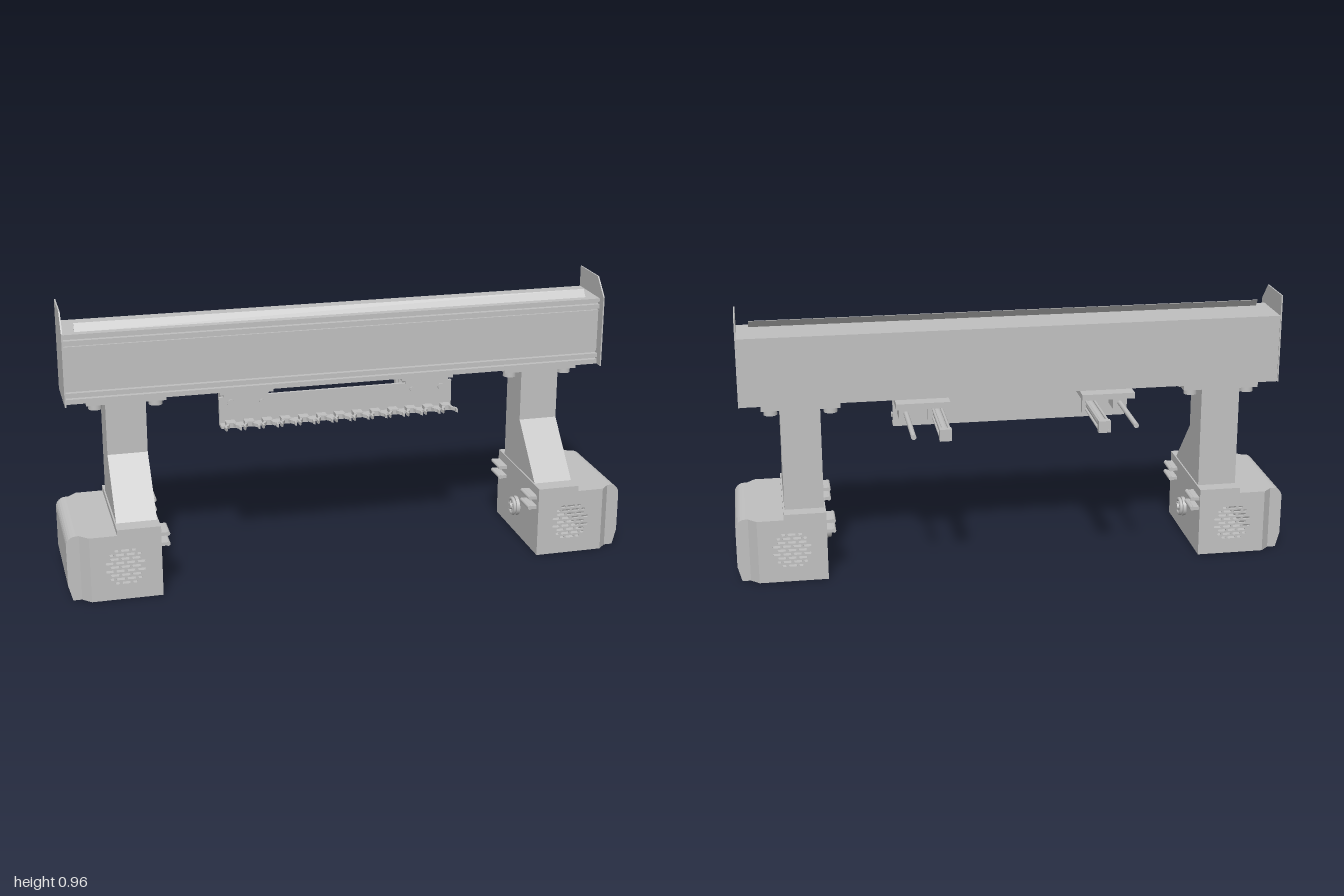
import * as THREE from 'three';

const metal = new THREE.MeshStandardMaterial({ color: 0xc0c0c0 });
metal.name = 'light grey metal';

function add(parent, name, geometry) {
  const mesh = new THREE.Mesh(geometry, metal);
  mesh.name = name;
  parent.add(mesh);
  return mesh;
}

// Box from its min and max along each axis (x may be given in either order)
function box(parent, name, x0, x1, y0, y1, z0, z1) {
  const g = new THREE.BoxGeometry(Math.abs(x1 - x0), y1 - y0, z1 - z0);
  g.translate((x0 + x1) / 2, (y0 + y1) / 2, (z0 + z1) / 2);
  return add(parent, name, g);
}

// Cylinder along an axis, centred on a point
function rod(parent, name, axis, r, length, x, y, z, sides = 20) {
  const g = new THREE.CylinderGeometry(r, r, length, sides);
  if (axis === 'x') g.rotateZ(Math.PI / 2);
  if (axis === 'z') g.rotateX(Math.PI / 2);
  g.translate(x, y, z);
  return add(parent, name, g);
}

// Prism from an outline: 'x' takes [z, y], 'y' takes [x, z], 'z' takes [x, y]
function prism(parent, name, axis, points, from, to, holes = []) {
  const flip = { x: ([z, y]) => [-z, y], y: ([x, z]) => [x, -z], z: (p) => p }[axis];
  const shape = new THREE.Shape(points.map((p) => new THREE.Vector2(...flip(p))));
  shape.holes = holes;
  const g = new THREE.ExtrudeGeometry(shape, { depth: to - from, bevelEnabled: false, curveSegments: 5 });
  if (axis === 'x') g.rotateY(Math.PI / 2).translate(from, 0, 0);
  if (axis === 'y') g.rotateX(-Math.PI / 2).translate(0, from, 0);
  if (axis === 'z') g.translate(0, 0, from);
  return add(parent, name, g);
}

// Staggered rounded slots filling a circle
function grilleSlots(cx, cy, radius) {
  const slots = [], r = 0.0042, pitch = 0.037;
  for (let row = -4; row <= 4; row++) {
    const y = row * 0.0148;
    const half = Math.sqrt(radius * radius - y * y);
    for (let k = -3; k <= 3; k++) {
      const mid = (k + (row % 2 ? 0.5 : 0)) * pitch;
      const a = Math.max(mid - 0.015, -half), b = Math.min(mid + 0.015, half);
      if (b - a < 0.012) continue;
      const p = new THREE.Path();
      p.moveTo(cx + a + r, cy + y - r);
      p.lineTo(cx + b - r, cy + y - r);
      p.absarc(cx + b - r, cy + y, r, -Math.PI / 2, Math.PI / 2, false);
      p.lineTo(cx + a + r, cy + y + r);
      p.absarc(cx + a + r, cy + y, r, Math.PI / 2, Math.PI * 1.5, false);
      slots.push(p);
    }
  }
  return slots;
}

function buildFoot(s) {
  const foot = new THREE.Group();
  foot.name = s > 0 ? 'leftFoot' : 'rightFoot';
  const mirror = (pts) => pts.map(([x, v]) => [s * x, v]);

  // Hollow housing with a slotted wall at each end
  box(foot, 'innerWall', s * 0.68, s * 0.69, 0, 0.235, -0.112, 0.315);
  box(foot, 'floor', s * 0.69, s * 0.915, 0, 0.01, -0.112, 0.315);
  box(foot, 'roof', s * 0.69, s * 0.915, 0.225, 0.235, -0.112, 0.315);
  const wall = mirror([[0.69, 0.01], [0.915, 0.01], [0.915, 0.225], [0.69, 0.225]]);
  for (const [name, z] of [['frontGrille', 0.307], ['backGrille', -0.112]])
    prism(foot, name, 'z', wall, z, z + 0.008, grilleSlots(s * 0.805, 0.12, 0.07));
  prism(foot, 'chamferedSide', 'y', mirror([[0.915, 0.315], [0.925, 0.315], [0.955, 0.285],
    [0.955, -0.083], [0.925, -0.112], [0.915, -0.112]]), 0, 0.235);

  // Outer cover with a rounded top and tapered bottom
  const cap = [[0.955, 0], [0.985, 0], [1, 0.055], [1, 0.2]];
  for (let i = 1; i <= 6; i++) {
    const a = (i / 6) * Math.PI / 2;
    cap.push([0.965 + 0.035 * Math.cos(a), 0.2 + 0.035 * Math.sin(a)]);
  }
  cap.push([0.955, 0.235]);
  prism(foot, 'outerCover', 'z', mirror(cap), -0.083, 0.285);
  box(foot, 'footPlate', s * 0.68, s * 0.83, 0.235, 0.255, -0.112, 0.315);

  // Grips and knob on the inner face
  for (const z of [0.255, -0.06])
    for (const y of [0.18, 0.217]) {
      box(foot, 'grip', s * 0.655, s * 0.68, y - 0.006, y + 0.006, z - 0.042, z + 0.042);
      rod(foot, 'gripEdge', 'z', 0.008, 0.084, s * 0.655, y, z, 12);
    }
  rod(foot, 'knobBase', 'x', 0.036, 0.012, s * 0.674, 0.11, 0.1, 24);
  const ring = new THREE.TorusGeometry(0.028, 0.007, 8, 24).rotateY(Math.PI / 2);
  add(foot, 'knobRing', ring.translate(s * 0.662, 0.11, 0.1));
  rod(foot, 'knobHub', 'x', 0.012, 0.02, s * 0.66, 0.11, 0.1);
  for (let i = 0; i < 3; i++) {
    const spoke = new THREE.BoxGeometry(0.008, 0.054, 0.008).rotateX(i * Math.PI / 3);
    add(foot, 'knobSpoke', spoke.translate(s * 0.662, 0.11, 0.1));
  }
  return foot;
}

function buildColumn(s) {
  const column = new THREE.Group();
  column.name = s > 0 ? 'leftColumn' : 'rightColumn';
  prism(column, 'post', 'x', [[-0.062, 0.255], [0.255, 0.255], [0.08, 0.44], [0.08, 0.627], [-0.062, 0.627]],
    s * 0.755 - 0.07, s * 0.755 + 0.07);
  box(column, 'topFlange', s * 0.615, s * 0.89, 0.627, 0.645, -0.072, 0.092);
  for (const x of [0.648, 0.857])
    for (const z of [0.055, -0.037]) rod(column, 'bolt', 'y', 0.024, 0.022, s * x, 0.616, z, 24);
  return column;
}

function buildBeam() {
  const beam = new THREE.Group();
  beam.name = 'beam';
  // Section with two grooved tracks along the front
  prism(beam, 'beamBody', 'x', [[-0.072, 0.645], [0.115, 0.645], [0.115, 0.662], [0.098, 0.662], [0.098, 0.67],
    [0.115, 0.67], [0.115, 0.684], [0.098, 0.684], [0.098, 0.692], [0.106, 0.692],
    [0.106, 0.845], [0.098, 0.845], [0.098, 0.853], [0.115, 0.853], [0.115, 0.868],
    [0.098, 0.868], [0.098, 0.878], [0.115, 0.878], [0.115, 0.89], [-0.072, 0.89]], -0.962, 0.962);
  prism(beam, 'topLip', 'x', [[0.08, 0.89], [0.086, 0.89], [0.066, 0.916], [0.06, 0.916]], -0.917, 0.917);
  for (const s of [-1, 1])
    prism(beam, 'endPlate', 'x', [[-0.075, 0.645], [0.145, 0.645], [0.145, 0.902], [0.085, 0.965], [-0.075, 0.965]],
      s * 0.9635 - 0.0025, s * 0.9635 + 0.0025);
  return beam;
}

// Pneumatic slide hanging under the beam
function buildSlide(s) {
  const slide = new THREE.Group();
  slide.name = s > 0 ? 'leftSlide' : 'rightSlide';
  box(slide, 'mountPlate', s * 0.235, s * 0.425, 0.622, 0.643, -0.115, 0.075);
  box(slide, 'hanger', s * 0.25, s * 0.41, 0.607, 0.622, -0.05, 0.065);
  box(slide, 'guideBlock', s * 0.36, s * 0.41, 0.565, 0.61, -0.055, 0.02);
  box(slide, 'cylinderBracket', s * 0.245, s * 0.31, 0.56, 0.61, -0.06, -0.04);
  rod(slide, 'guideRod', 'z', 0.009, 0.375, s * 0.385, 0.588, -0.124);
  rod(slide, 'guideRodEnd', 'z', 0.013, 0.006, s * 0.385, 0.588, 0.067);
  // Cylinder with tie rods and end blocks
  rod(slide, 'cylinderBarrel', 'z', 0.0165, 0.25, s * 0.275, 0.587, -0.16);
  for (const dx of [-0.015, 0.015])
    for (const dy of [-0.015, 0.015]) rod(slide, 'tieRod', 'z', 0.005, 0.27, s * 0.275 + dx, 0.587 + dy, -0.172, 10);
  for (const z of [-0.294, -0.045])
    box(slide, 'cylinderEnd', s * 0.275 - 0.021, s * 0.275 + 0.021, 0.566, 0.608, z - 0.012, z + 0.012);
  rod(slide, 'pistonRod', 'z', 0.008, 0.11, s * 0.275, 0.587, 0.015);
  return slide;
}

function buildGripperBar() {
  const bar = new THREE.Group();
  bar.name = 'gripperBar';
  box(bar, 'barPlate', -0.427, 0.423, 0.507, 0.61, 0.052, 0.064);
  box(bar, 'barShelf', -0.427, 0.423, 0.507, 0.516, 0.064, 0.098);
  // Row of spread two-prong grippers
  for (let i = -6; i <= 6; i++) {
    const x = i * 0.0655;
    box(bar, 'gripperBase', x - 0.017, x + 0.017, 0.516, 0.53, 0.075, 0.11);
    for (const s of [-1, 1]) {
      const prong = [[0.005, 0.105], [0.017, 0.105], [0.02, 0.12], [0.029, 0.135], [0.027, 0.157],
        [0.021, 0.15], [0.022, 0.138], [0.012, 0.125]];
      prism(bar, 'gripperProng', 'y', prong.map(([px, z]) => [x + s * px, z]), 0.516, 0.528);
    }
  }
  return bar;
}

export function createModel() {
  const model = new THREE.Group();
  model.name = 'gantry';
  model.add(buildBeam(), buildGripperBar());
  for (const s of [-1, 1]) model.add(buildFoot(s), buildColumn(s), buildSlide(s));
  return model;
}
